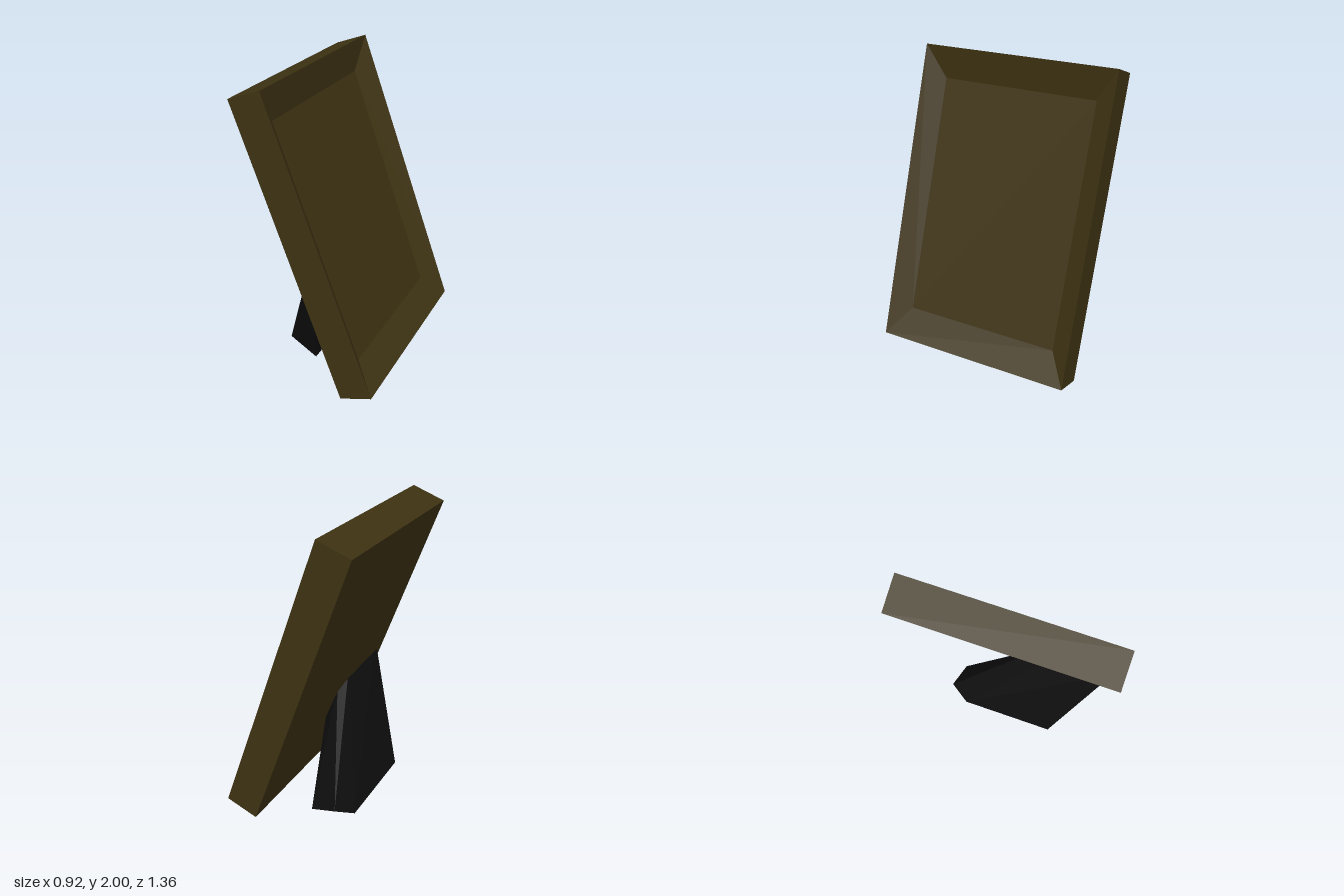
import * as THREE from 'three';

// Closed faceted solid through rings of equal point count, capped at both ends
function loft(rings) {
  const pos = [];
  const tri = (a, b, c) => pos.push(...a, ...b, ...c);
  const n = rings[0].length;
  for (let r = 0; r + 1 < rings.length; r++) {
    const a = rings[r], b = rings[r + 1];
    for (let i = 0; i < n; i++) {
      const j = (i + 1) % n;
      tri(a[i], a[j], b[j]);
      tri(a[i], b[j], b[i]);
    }
  }
  const first = rings[0], last = rings[rings.length - 1];
  for (let i = 1; i + 1 < n; i++) {
    tri(first[0], first[i + 1], first[i]);
    tri(last[0], last[i], last[i + 1]);
  }
  const geo = new THREE.BufferGeometry();
  geo.setAttribute('position', new THREE.Float32BufferAttribute(pos, 3));
  geo.computeVertexNormals();
  return geo;
}

const rect = (w, h, z) => [[-w, -h, z], [w, -h, z], [w, h, z], [-w, h, z]];

export function createModel() {
  const model = new THREE.Group();
  const wood = new THREE.MeshStandardMaterial({ name: 'dark wood', color: 0x3d3212, flatShading: true });
  const black = new THREE.MeshStandardMaterial({ name: 'black', color: 0x0d0d0d, flatShading: true });

  // Leaning frame with sloped borders around a sunken panel
  const w = 0.68, h = 1.021, t = 0.116;
  const frame = new THREE.Mesh(
    loft([rect(w, h, -t), rect(w, h, t), rect(w * 0.8, h * 0.8, t - 0.091)]), wood);
  frame.name = 'pictureFrame';
  frame.geometry.rotateY(Math.PI / 2).rotateZ(THREE.MathUtils.degToRad(20)).translate(0, 1, 0);
  model.add(frame);

  // Skewed, tapering prop: foot outline and where it meets the frame's back
  const foot = [[-0.35, 0.04, -0.38], [-0.35, 0.04, 0.29], [-0.09, 0.025, 0.4],
    [-0.08, 0.048, -0.48], [-0.27, 0.12, -0.515]];
  const joint = [[-0.023, 0.73, 0.17], [-0.036, 0.77, 0.605], [0.015, 0.61, 0.6],
    [0.072, 0.465, 0], [-0.002, 0.67, 0.035]];
  // Run the edges slightly on into the frame
  const top = joint.map((p, i) => p.map((v, k) => v + (v - foot[i][k]) * 0.06));
  const stand = new THREE.Mesh(loft([foot, top]), black);
  stand.name = 'backStand';
  model.add(stand);

  return model;
}
